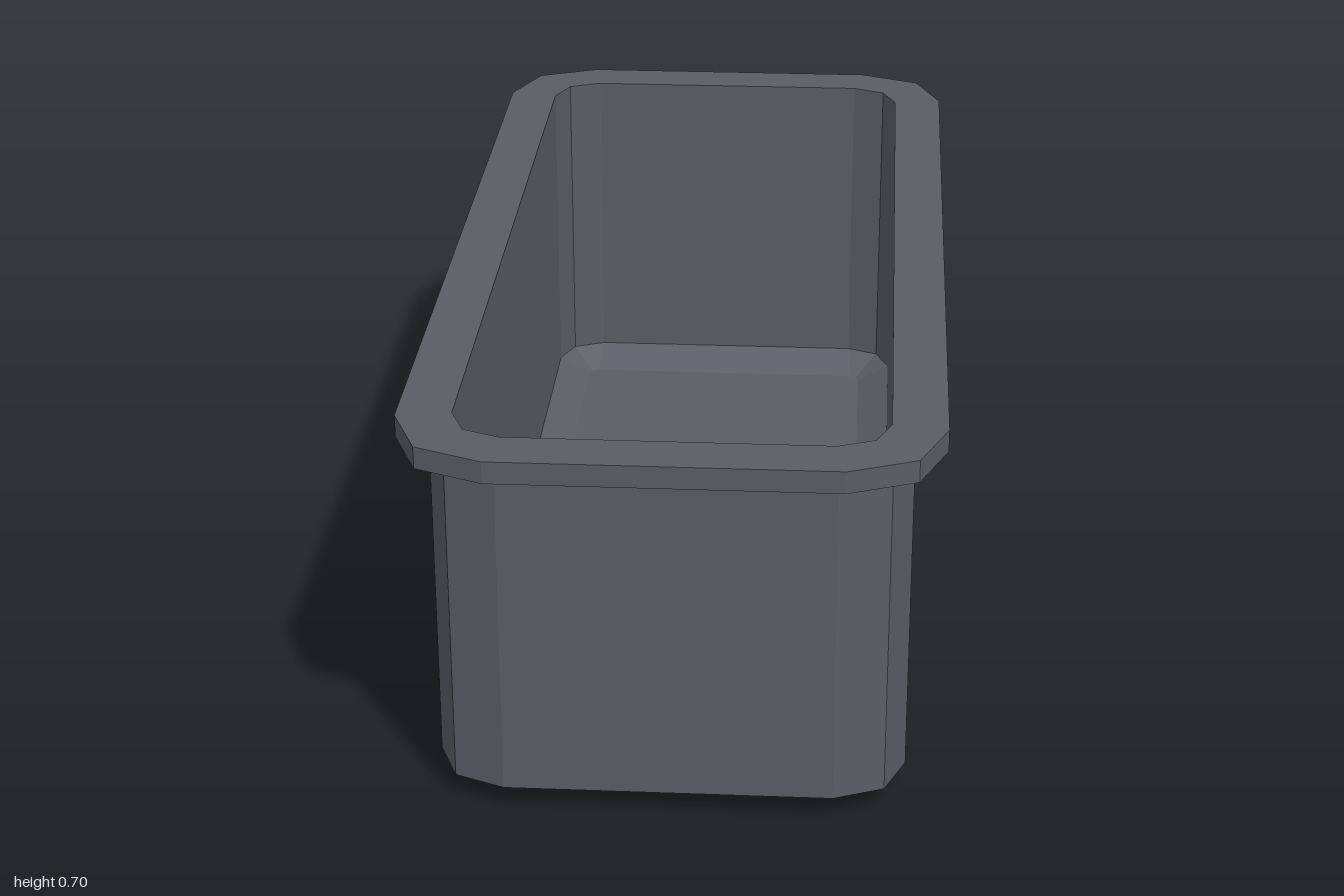
import * as THREE from 'three';

// Rounded-rectangle ring: half width, half depth, corner radius, height
function ring(hx, hz, r, y) {
  const pts = [];
  for (let q = 0; q < 4; q++) {
    const sx = q === 0 || q === 3 ? 1 : -1;
    const sz = q < 2 ? 1 : -1;
    for (let s = 0; s < 3; s++) {
      const a = (q + s / 2) * Math.PI / 2;
      pts.push([sx * (hx - r) + r * Math.cos(a), y, sz * (hz - r) + r * Math.sin(a)]);
    }
  }
  return pts;
}

// Faceted skin through successive rings
function skin(name, rings, material) {
  const pos = [];
  for (let k = 0; k < rings.length - 1; k++) {
    const lo = rings[k], hi = rings[k + 1], n = lo.length;
    for (let i = 0; i < n; i++) {
      const j = (i + 1) % n;
      pos.push(...lo[i], ...hi[i], ...hi[j], ...lo[i], ...hi[j], ...lo[j]);
    }
  }
  const geo = new THREE.BufferGeometry();
  geo.setAttribute('position', new THREE.Float32BufferAttribute(pos, 3));
  geo.computeVertexNormals();
  const mesh = new THREE.Mesh(geo, material);
  mesh.name = name;
  return mesh;
}

export function createModel() {
  const group = new THREE.Group();
  group.name = 'rectangularTub';
  const grey = new THREE.MeshStandardMaterial({ color: 0x5a5d65, flatShading: true });
  grey.name = 'slate grey';

  const wallTop = ring(0.41, 0.945, 0.125, 0.66);
  const opening = ring(0.37, 0.905, 0.09, 0.7);

  // Underside, sloping base edge and outer walls
  group.add(skin('outerShell', [
    ring(0, 0, 0, 0),
    ring(0.305, 0.84, 0.02, 0),
    ring(0.41, 0.945, 0.125, 0.045),
    wallTop,
  ], grey));

  // Overhanging flange: underside, edge and top face
  group.add(skin('rim', [
    wallTop,
    ring(0.465, 1, 0.168, 0.66),
    ring(0.465, 1, 0.168, 0.7),
    opening,
  ], grey));

  // Inner walls, sloping lower edge and floor
  group.add(skin('innerShell', [
    opening,
    ring(0.37, 0.905, 0.09, 0.075),
    ring(0.305, 0.83, 0.02, 0.04),
    ring(0, 0, 0, 0.04),
  ], grey));

  return group;
}
